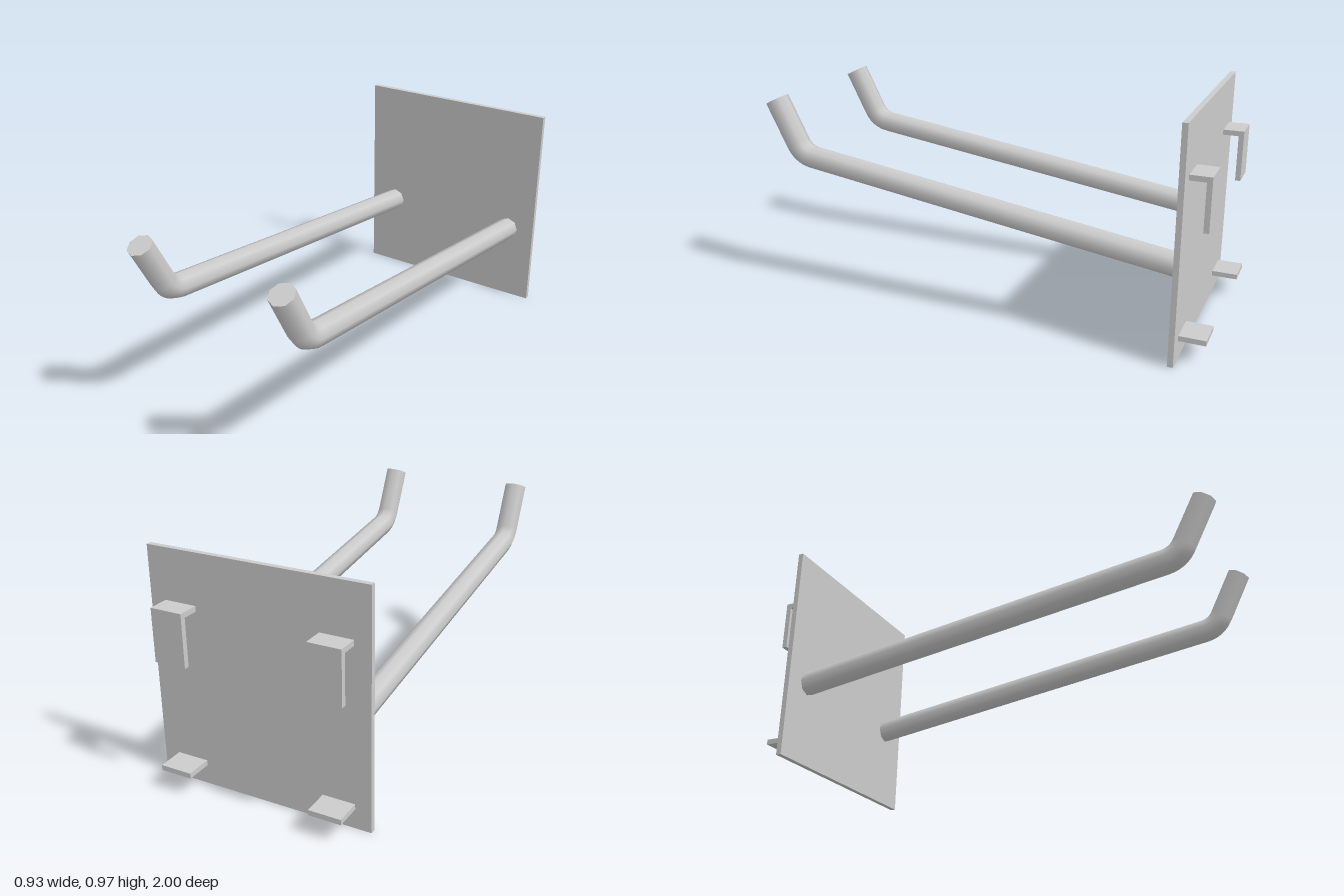
import * as THREE from 'three';

const material = new THREE.MeshStandardMaterial({ color: 0xcccccc });

// Box given by its minimum and maximum corners
function box(name, [x0, y0, z0], [x1, y1, z1]) {
  const mesh = new THREE.Mesh(new THREE.BoxGeometry(x1 - x0, y1 - y0, z1 - z0), material);
  mesh.position.set((x0 + x1) / 2, (y0 + y1) / 2, (z0 + z1) / 2);
  mesh.name = name;
  return mesh;
}

// Eight-sided rod in the y-z plane: a cylinder whose rings follow a bent centre line
function rodGeometry() {
  const radius = 0.052, bendSteps = 6;
  const start = new THREE.Vector2(-0.875, 0.367); // (z, y)
  const corner = new THREE.Vector2(0.834, 0.61);
  const tip = new THREE.Vector2(0.955, 0.85);
  const inDir = corner.clone().sub(start).normalize();
  const outDir = tip.clone().sub(corner).normalize();
  const a0 = inDir.angle(), a1 = outDir.angle();
  const setback = 0.055;
  const bendRadius = setback / Math.tan((a1 - a0) / 2);
  const bendStart = corner.clone().addScaledVector(inDir, -setback);
  const centre = bendStart.clone().add(new THREE.Vector2(-inDir.y, inDir.x).multiplyScalar(bendRadius));

  const rings = [{ p: start, a: a0 }];
  for (let i = 0; i <= bendSteps; i++) {
    const a = a0 + (a1 - a0) * i / bendSteps;
    const p = new THREE.Vector2(Math.sin(a), -Math.cos(a)).multiplyScalar(bendRadius).add(centre);
    rings.push({ p, a });
  }
  rings.push({ p: tip, a: a1 });

  const n = rings.length - 1;
  const geo = new THREE.CylinderGeometry(radius, radius, 1, 8, n);
  const pos = geo.attributes.position, nor = geo.attributes.normal;
  for (let i = 0; i < pos.count; i++) {
    const { p, a } = rings[Math.round((pos.getY(i) + 0.5) * n)];
    const c = Math.cos(a), s = Math.sin(a);
    const z = pos.getZ(i), ny = nor.getY(i), nz = nor.getZ(i);
    pos.setXYZ(i, pos.getX(i), p.y - z * c, p.x + z * s);
    nor.setXYZ(i, nor.getX(i), ny * s - nz * c, ny * c + nz * s);
  }
  return geo;
}

export function createModel() {
  const group = new THREE.Group();
  const back = -0.891;

  group.add(box('backPlate', [-0.465, 0, back], [0.465, 0.97, -0.868]));

  const rod = rodGeometry();
  for (const [side, x] of [['left', 0.33], ['right', -0.33]]) {
    const x0 = x - 0.068, x1 = x + 0.068;

    // Upturned display prong
    const prong = new THREE.Mesh(rod, material);
    prong.name = side + 'Prong';
    prong.position.x = x;
    group.add(prong);

    // Upper hook: a shelf with a lip turned down
    const hook = new THREE.Group();
    hook.name = side + 'UpperHook';
    hook.add(box('hookShelf', [x0, 0.738, -0.979], [x1, 0.76, back]));
    hook.add(box('hookLip', [x0, 0.541, -0.979], [x1, 0.738, -0.957]));
    group.add(hook);

    // Lower locating tab
    group.add(box(side + 'LowerTab', [x0, 0.082, -1], [x1, 0.104, back]));
  }
  return group;
}
